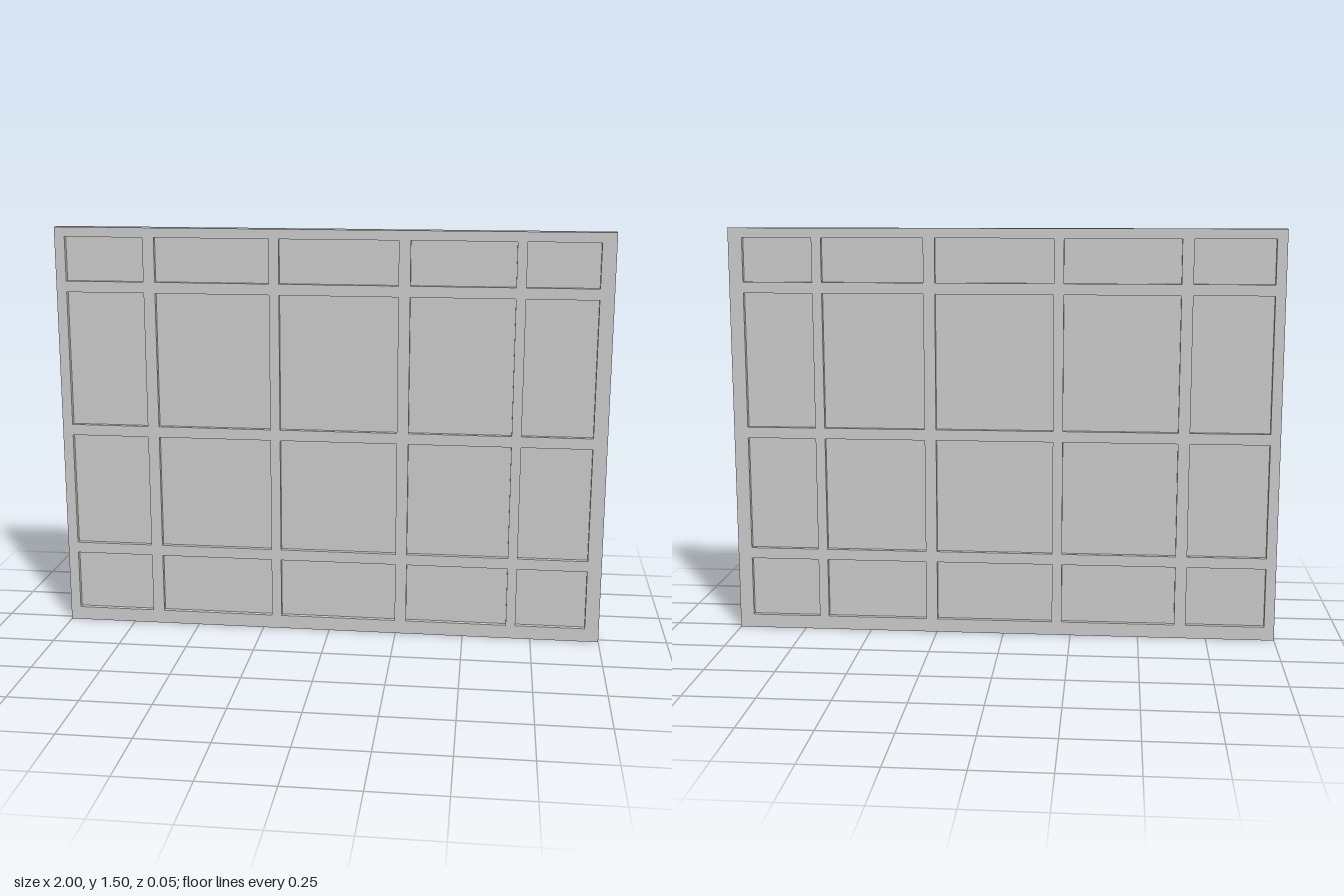
import * as THREE from 'three';

const DEPTH = 0.046, PANE = 0.01, HEIGHT = 1.5;
// Openings between the bars: [start, end]
const COLUMNS = [[-0.963, -0.676], [-0.634, -0.217], [-0.181, 0.247], [0.289, 0.66], [0.695, 0.949]];
const ROWS = [[0.05, 0.27], [0.31, 0.73], [0.77, 1.265], [1.305, 1.465]];

function addRect(path, x0, y0, x1, y1) {
  path.moveTo(x0, y0).lineTo(x1, y0).lineTo(x1, y1).lineTo(x0, y1).closePath();
  return path;
}

export function createModel() {
  const group = new THREE.Group();
  group.name = 'windowPanel';
  const material = new THREE.MeshStandardMaterial({ color: 0xcccccc });

  const outline = addRect(new THREE.Shape(), -1, 0, 1, HEIGHT);
  const panes = new THREE.Group();
  panes.name = 'panes';

  // One opening and one recessed pane per grid cell
  for (const [x0, x1] of COLUMNS) {
    for (const [y0, y1] of ROWS) {
      outline.holes.push(addRect(new THREE.Path(), x0, y0, x1, y1));
      const pane = new THREE.Mesh(new THREE.BoxGeometry(x1 - x0, y1 - y0, PANE), material);
      pane.position.set((x0 + x1) / 2, (y0 + y1) / 2, 0);
      pane.name = 'pane';
      panes.add(pane);
    }
  }

  // Frame with its dividing bars
  const frameGeometry = new THREE.ExtrudeGeometry(outline, { depth: DEPTH, bevelEnabled: false });
  frameGeometry.translate(0, 0, -DEPTH / 2);
  const frame = new THREE.Mesh(frameGeometry, material);
  frame.name = 'frame';

  group.add(frame, panes);
  return group;
}
